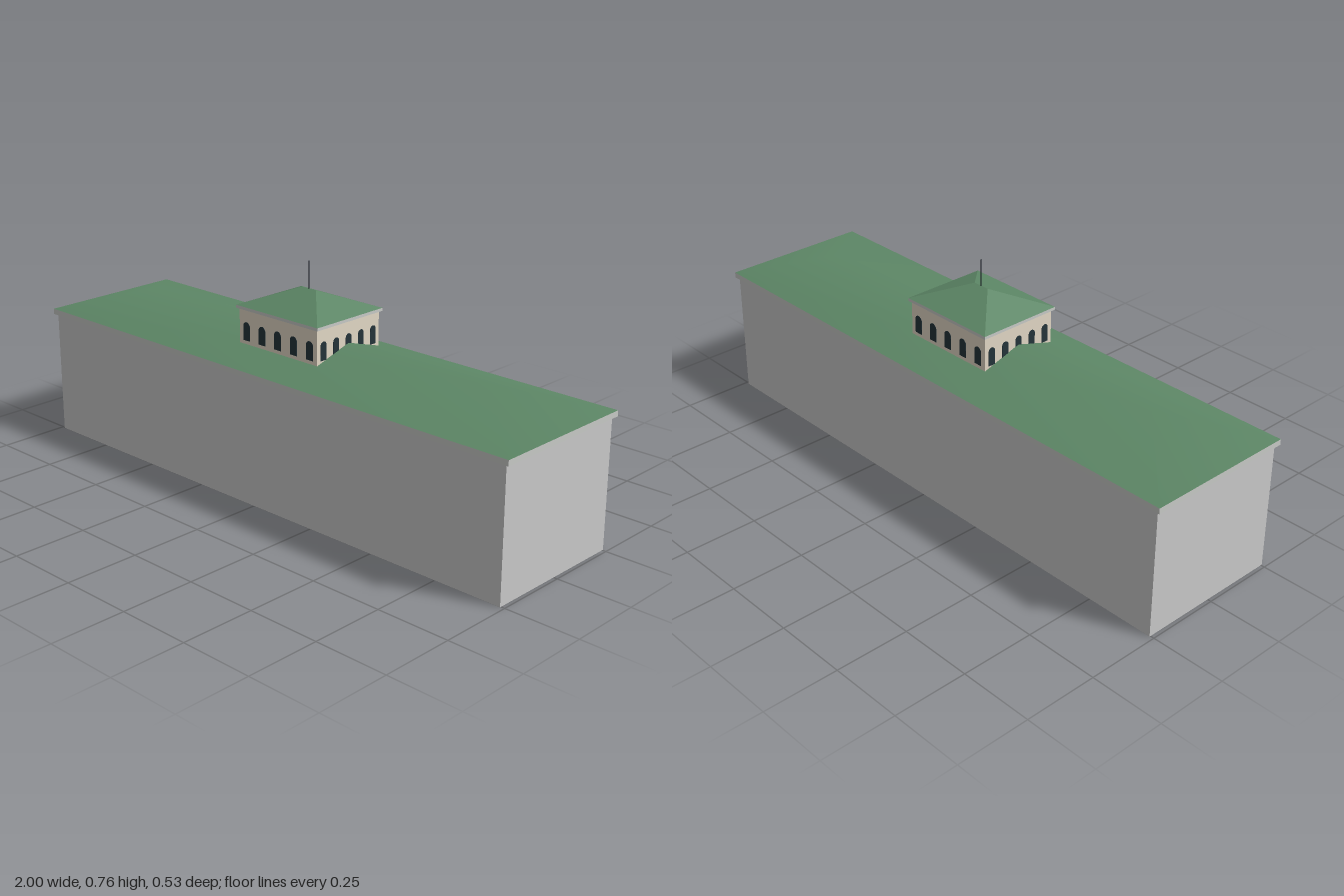
import * as THREE from 'three';

function makeMaterial(name, color, side = THREE.FrontSide) {
  const m = new THREE.MeshStandardMaterial({ color, side });
  m.name = name;
  return m;
}

// Hip roof: four eave corners and a ridge along x
function hipRoof(halfX, halfZ, halfRidge, y0, y1) {
  const g = new THREE.BufferGeometry();
  g.setAttribute('position', new THREE.Float32BufferAttribute([
    -halfX, y0, halfZ, halfX, y0, halfZ, halfX, y0, -halfZ, -halfX, y0, -halfZ,
    -halfRidge, y1, 0, halfRidge, y1, 0,
  ], 3));
  g.setIndex([0, 1, 5, 0, 5, 4, 2, 3, 4, 2, 4, 5, 1, 2, 5, 3, 0, 4]);
  g.computeVertexNormals();
  return g;
}

// Arched window plate standing on y = 0, facing +z
function archPlate(width, height) {
  const r = width / 2;
  const s = new THREE.Shape();
  s.moveTo(-r, 0);
  s.lineTo(r, 0);
  s.lineTo(r, height - r);
  s.absarc(0, height - r, r, 0, Math.PI, false);
  s.closePath();
  return new THREE.ExtrudeGeometry(s, { depth: 0.002, bevelEnabled: false, curveSegments: 8 });
}

export function createModel() {
  const model = new THREE.Group();
  model.name = 'building';

  const wall = makeMaterial('wallGrey', 0xcacaca, THREE.DoubleSide);
  const trim = makeMaterial('trimGrey', 0xc9cbc8);
  const green = makeMaterial('roofGreen', 0x5d8766);
  const cream = makeMaterial('towerCream', 0xe3d9c6);
  const glass = makeMaterial('windowDark', 0x24343a);
  const iron = makeMaterial('poleDark', 0x141a24);

  const add = (name, geometry, material, parent = model) => {
    const mesh = new THREE.Mesh(geometry, material);
    mesh.name = name;
    parent.add(mesh);
    return mesh;
  };
  const box = (name, w, d, y0, y1, material, parent) => {
    const g = new THREE.BoxGeometry(w, y1 - y0, d);
    g.translate(0, (y0 + y1) / 2, 0);
    return add(name, g, material, parent);
  };

  // Main walls, open at the bottom: four upright planes
  const H = 0.432, X = 0.987, Z = 0.254;
  const walls = new THREE.Group();
  walls.name = 'walls';
  model.add(walls);
  for (let i = 0; i < 4; i++) {
    const onEnd = i % 2 === 1;
    const g = new THREE.PlaneGeometry(2 * (onEnd ? Z : X), H);
    g.translate(0, H / 2, onEnd ? X : Z);
    g.rotateY(i * Math.PI / 2);
    add('wall', g, wall, walls);
  }

  // Main cornice and roof
  box('cornice', 2, 0.526, H, 0.451, trim);
  add('mainRoof', hipRoof(1, 0.263, 0.73, 0.451, 0.531), green);

  // Roof tower
  const tower = new THREE.Group();
  tower.name = 'tower';
  model.add(tower);
  const TX = 0.172, TZ = 0.142;
  box('towerWalls', 2 * TX, 2 * TZ, 0.47, 0.604, cream, tower);
  box('towerCornice', 0.36, 0.3, 0.604, 0.614, trim, tower);
  add('towerRoof', (() => {
    const g = hipRoof(0.18, 0.15, 0.03, 0.614, 0.673).toNonIndexed();
    g.computeVertexNormals();
    return g;
  })(), green, tower);

  // Five arched windows on each tower side
  for (let side = 0; side < 4; side++) {
    const onEnd = side % 2 === 1;
    const spacing = onEnd ? 0.057 : 0.07;
    for (let i = -2; i <= 2; i++) {
      const g = archPlate(onEnd ? 0.026 : 0.03, 0.062);
      g.translate(i * spacing, 0.5, (onEnd ? TX : TZ) - 0.001);
      g.rotateY(side * Math.PI / 2);
      add('towerWindow', g, glass, tower);
    }
  }

  // Pole on the tower ridge
  const pole = new THREE.CylinderGeometry(0.0018, 0.0018, 0.094, 8);
  pole.translate(0, 0.717, 0);
  add('pole', pole, iron, tower);

  return model;
}
